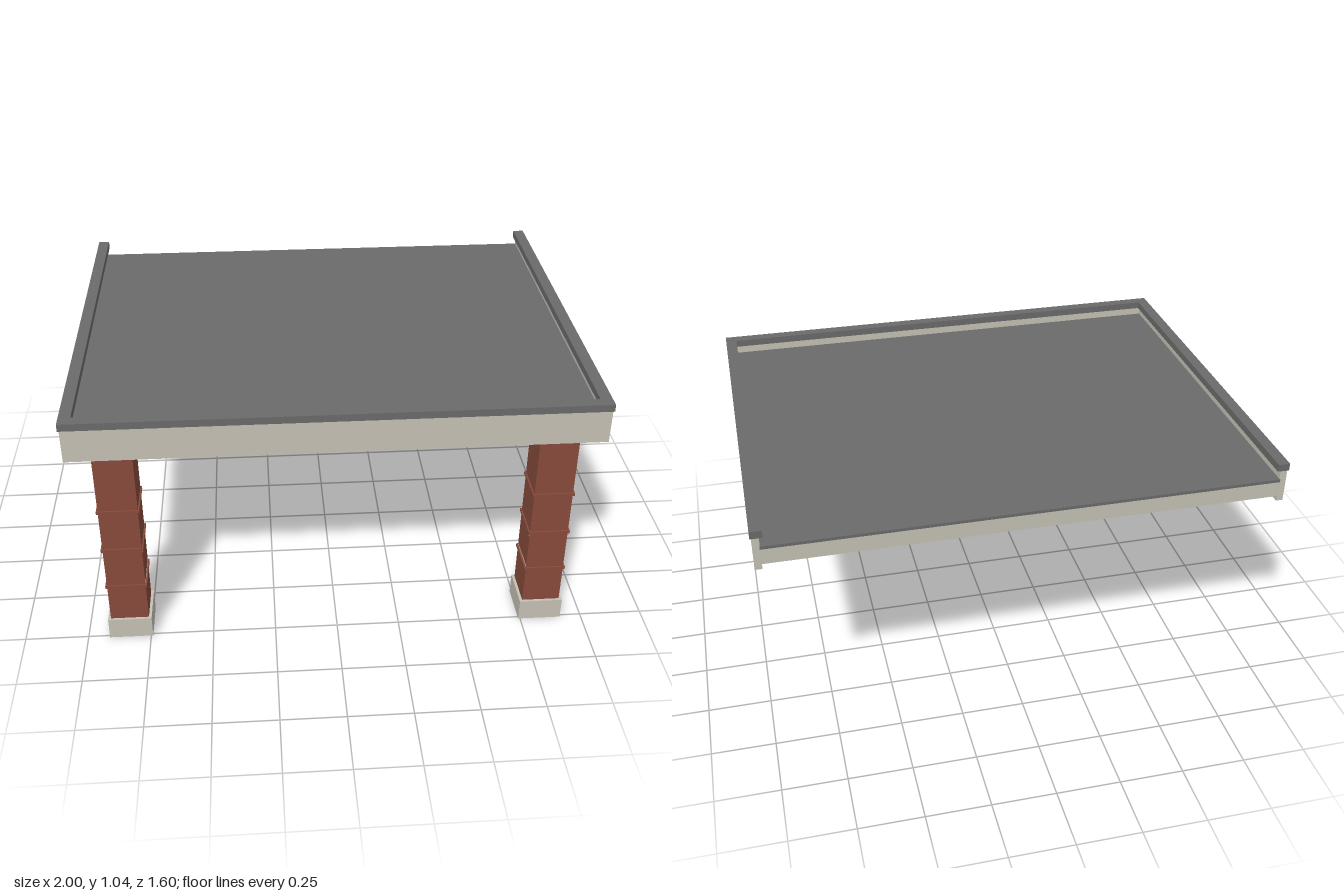
import * as THREE from 'three';

const mat = (name, color) => {
  const m = new THREE.MeshStandardMaterial({ color });
  m.name = name;
  return m;
};

export function createModel() {
  const model = new THREE.Group();
  model.name = 'carport';
  const concrete = mat('pale concrete', 0xc5c1b5);
  const brick = mat('red brick', 0x874a3b);
  const roofGrey = mat('roof grey', 0x6b6b6b);
  const pipeGrey = mat('dark pipe grey', 0x4c4f53);
  const mortar = mat('mortar', 0xb5a595);

  // Box given by its minimum and maximum on each axis
  const box = (parent, name, material, [x0, x1], [y0, y1], [z0, z1]) => {
    const mesh = new THREE.Mesh(new THREE.BoxGeometry(x1 - x0, y1 - y0, z1 - z0), material);
    mesh.position.set((x0 + x1) / 2, (y0 + y1) / 2, (z0 + z1) / 2);
    mesh.name = name;
    parent.add(mesh);
    return mesh;
  };

  // U-shaped band round the front and both sides, open at the back
  const band = (name, material, outX, front, back, width, y0, y1) => {
    const inX = outX - width, inFront = front - width;
    const shape = new THREE.Shape([
      [-outX, back], [-inX, back], [-inX, inFront], [inX, inFront],
      [inX, back], [outX, back], [outX, front], [-outX, front],
    ].map(([x, z]) => new THREE.Vector2(x, -z)));
    const geo = new THREE.ExtrudeGeometry(shape, { depth: y1 - y0, bevelEnabled: false });
    geo.rotateX(-Math.PI / 2);
    const mesh = new THREE.Mesh(geo, material);
    mesh.position.y = y0;
    mesh.name = name;
    model.add(mesh);
  };

  // Roof: slab, membrane, fascia and parapet coping
  box(model, 'roofSlab', concrete, [-0.97, 0.97], [0.895, 0.96], [-0.795, 0.77]);
  box(model, 'roofMembrane', roofGrey, [-0.97, 0.97], [0.96, 0.972], [-0.8, 0.77]);
  band('fascia', concrete, 0.995, 0.796, -0.796, 0.027, 0.875, 1.008);
  band('coping', roofGrey, 1, 0.8, -0.8, 0.045, 1.008, 1.037);

  // Two brick columns near the front
  for (const side of [1, -1]) {
    const column = new THREE.Group();
    column.name = side > 0 ? 'leftColumn' : 'rightColumn';
    column.position.set(side * 0.828, 0, 0.675);
    model.add(column);
    const block = (name, material, half, y0, y1) =>
      box(column, name, material, [-half, half], [y0, y1], [-half, half]);
    block('plinth', concrete, 0.086, 0, 0.09);
    block('brickShaft', brick, 0.075, 0.09, 0.86);
    block('columnCap', concrete, 0.085, 0.86, 0.896);
    for (const y of [0.253, 0.432, 0.612]) block('brickBand', brick, 0.081, y - 0.006, y + 0.006);
    // Thin mortar joints on the two side faces
    for (const y of [0.265, 0.415, 0.602])
      box(column, 'mortarJoint', mortar, [-0.0765, 0.0765], [y - 0.002, y + 0.002], [-0.074, 0.074]);
  }

  // Downpipe behind the left column
  const downpipe = new THREE.Group();
  downpipe.name = 'downpipe';
  downpipe.position.x = 0.828;
  model.add(downpipe);
  box(downpipe, 'pipe', pipeGrey, [-0.015, 0.015], [0.108, 0.82], [0.574, 0.594]);
  box(downpipe, 'hopper', pipeGrey, [-0.024, 0.024], [0.787, 0.86], [0.565, 0.592]);
  for (const y of [0.34, 0.685])
    box(downpipe, 'pipeBracket', pipeGrey, [-0.02, 0.02], [y - 0.006, y + 0.006], [0.571, 0.6]);

  // Six round ceiling lights
  for (const x of [-0.465, 0.465]) {
    for (const z of [-0.42, 0, 0.42]) {
      const light = new THREE.Group();
      light.name = 'ceilingLight';
      light.position.set(x, 0.89, z);
      const trim = new THREE.Mesh(new THREE.CylinderGeometry(0.042, 0.042, 0.012, 24), roofGrey);
      trim.name = 'lightTrim';
      const lens = new THREE.Mesh(new THREE.CylinderGeometry(0.035, 0.035, 0.008, 24), concrete);
      lens.name = 'lightLens';
      lens.position.y = -0.004;
      light.add(trim, lens);
      model.add(light);
    }
  }
  return model;
}
